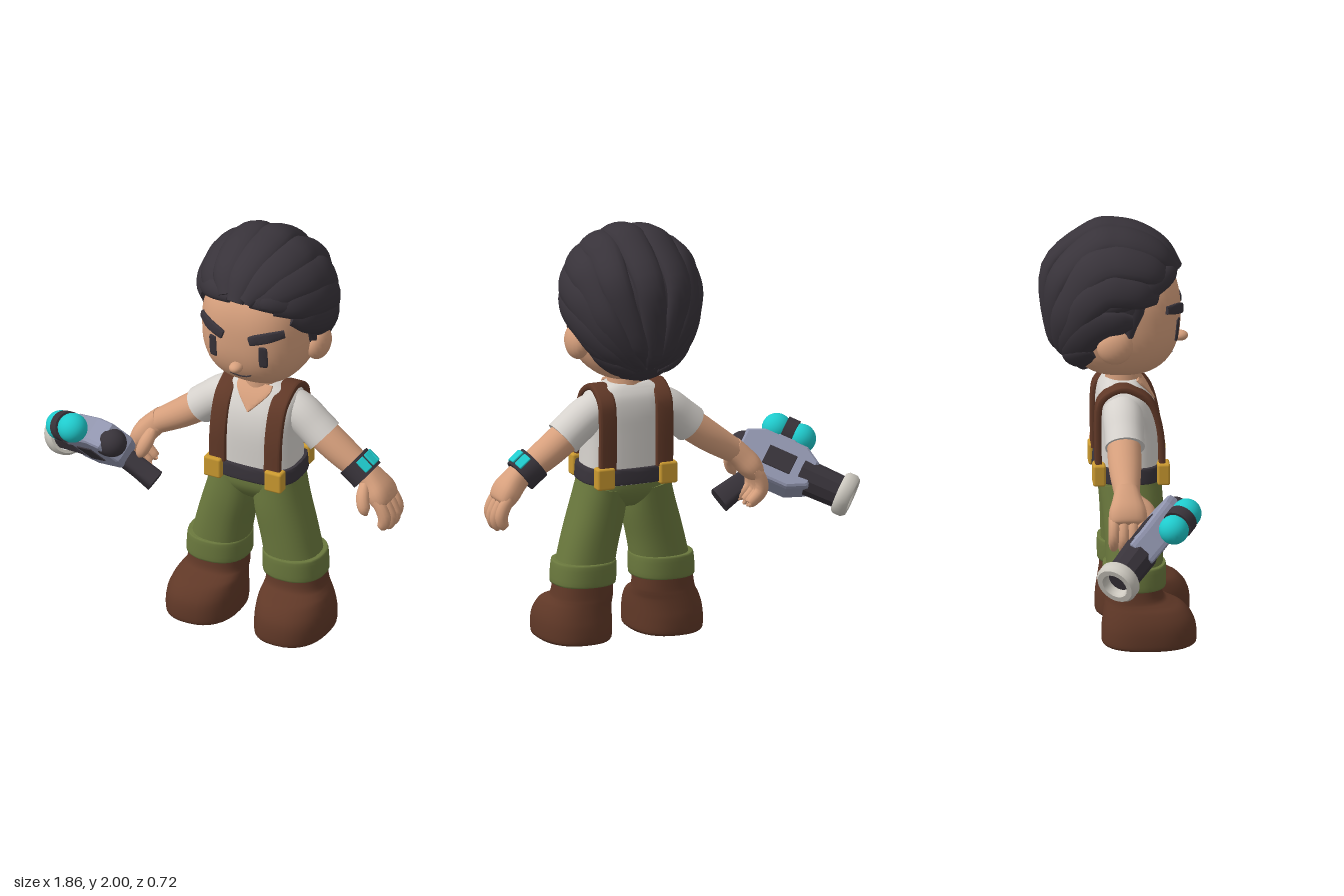
import * as THREE from 'three';
import { toCreasedNormals } from 'three/addons/utils/BufferGeometryUtils.js';
import { RoundedBoxGeometry } from 'three/addons/geometries/RoundedBoxGeometry.js';

const V = (x, y, z) => new THREE.Vector3(x, y, z);
const X = V(1, 0, 0), Y = V(0, 1, 0), Z = V(0, 0, 1);
const CX = 0.227; // body midline

const mat = (name, color) => Object.assign(new THREE.MeshStandardMaterial({ color }), { name });
const M = {
  skin: mat('skin', 0xd7a07d), dark: mat('charcoal', 0x38333a), shirt: mat('shirt white', 0xd6d2cd),
  brown: mat('leather brown', 0x603827), green: mat('olive', 0x6a783d),
  gold: mat('gold', 0xcb9a30), cyan: mat('cyan', 0x1fcbcd), steel: mat('steel', 0x9195ae), ivory: mat('ivory', 0xcdc9c0),
};

function add(parent, name, geo, material, pos) {
  const m = new THREE.Mesh(geo, material);
  m.name = name;
  if (pos) m.position.copy(pos);
  parent.add(m);
  return m;
}

function build(pos, idx) {
  const g = new THREE.BufferGeometry();
  g.setAttribute('position', new THREE.Float32BufferAttribute(pos, 3));
  g.setIndex(idx);
  return toCreasedNormals(g, 0.85);
}

// Superelliptic tube through rows [x, y, z, a, b]; a runs along hint, b across it.
function sweep(rows, { hint = X, axis, n = 20, p = 2, steps = 4 } = {}) {
  const c = new THREE.CatmullRomCurve3(rows.map(r => V(r[0], r[1], r[2])), false, 'catmullrom', 0.5);
  const w = new THREE.CatmullRomCurve3(rows.map(r => V(r[3], r[4], 0)), false, 'catmullrom', 0.5);
  const pos = [], idx = [], m = (rows.length - 1) * steps;
  const pw = v => Math.sign(v) * Math.abs(v) ** (2 / p);
  for (let i = 0; i <= m; i++) {
    const P = c.getPoint(i / m), S = w.getPoint(i / m), T = axis || c.getTangent(i / m);
    const h = typeof hint === 'function' ? hint(P) : hint;
    const A = h.clone().addScaledVector(T, -h.dot(T)).normalize(), B = T.clone().cross(A);
    for (let j = 0; j < n; j++) {
      const t = j / n * Math.PI * 2;
      const q = P.clone().addScaledVector(A, S.x * pw(Math.cos(t))).addScaledVector(B, S.y * pw(Math.sin(t)));
      pos.push(q.x, q.y, q.z);
    }
  }
  for (let i = 0; i < m; i++) for (let j = 0; j < n; j++) {
    const k = (j + 1) % n, a = i * n + j, b = i * n + k;
    idx.push(a, b, a + n, b, b + n, a + n);
  }
  const e = (m + 1) * n, f = rows[0], l = rows[rows.length - 1];
  pos.push(f[0], f[1], f[2], l[0], l[1], l[2]);
  for (let j = 0; j < n; j++) {
    const k = (j + 1) % n;
    idx.push(e, k, j, e + 1, m * n + j, m * n + k);
  }
  return build(pos, idx);
}
// Horizontal slices stacked upwards: a is the half width, b the half depth.
const stack = (rows, p = 2.4, n = 32) => sweep(rows, { axis: Y, p, n });

// ---- head ----
const HC = V(CX, 1.557, 0.03), HR = V(0.265, 0.3, 0.275), HP = 2.5;
const headZ = (x, y) => HC.z + HR.z * Math.max(0, 1 - Math.abs((x - CX) / HR.x) ** HP - Math.abs((y - HC.y) / HR.y) ** HP) ** (1 / HP);

function makeHead() {
  const g = new THREE.Group();
  g.name = 'head';
  const skull = new THREE.SphereGeometry(1, 48, 36), p = skull.attributes.position, v = V(0, 0, 0);
  for (let i = 0; i < p.count; i++) {
    v.fromBufferAttribute(p, i);
    const s = (Math.abs(v.x) ** HP + Math.abs(v.y) ** HP + Math.abs(v.z) ** HP) ** (-1 / HP);
    v.multiplyScalar(s).multiply(HR);
    p.setXYZ(i, v.x, v.y, v.z);
  }
  skull.computeVertexNormals();
  add(g, 'face', skull, M.skin, HC);
  add(g, 'nose', new THREE.SphereGeometry(1, 20, 14).scale(0.032, 0.025, 0.038), M.skin, V(CX, 1.423, 0.304));
  add(g, 'mouth', sweep([[-0.05, 1.362], [-0.005, 1.353], [0.035, 1.36], [0.058, 1.374]].map(([x, y]) =>
    [CX + x, y, headZ(CX + x, y) + 0.001, 0.004, 0.004]), { hint: Z, n: 8 }), M.dark);
  for (const s of [-1, 1]) {
    add(g, 'ear', new THREE.SphereGeometry(1, 20, 16).scale(0.055, 0.085, 0.085), M.skin, V(CX + s * 0.268, 1.465, -0.018));
    add(g, 'eye', sweep([[1.445, 0.013], [1.456, 0.021], [1.54, 0.021], [1.551, 0.013]].map(([y, a]) =>
      [CX + s * 0.13, y, headZ(CX + s * 0.13, y) + 0.001, a, 0.005]), { hint: V(1, 0, -s * 0.28), p: 4 }), M.dark);
    add(g, 'eyebrow', sweep([[0.068, 1.582, 0.021], [0.1, 1.593, 0.025], [0.16, 1.609, 0.025], [0.212, 1.619, 0.019]].map(([o, y, b]) =>
      [CX + s * o, y, headZ(CX + s * o, y) + 0.003, 0.012, b]), { hint: Z, p: 5 }), M.dark);
  }
  return g;
}

// ---- hair: a cap cut at the hairline, covered by swept back locks ----
function makeHair() {
  const g = new THREE.Group();
  g.name = 'hair';
  const C = V(CX, 1.65, -0.022), rx = 0.296, up = 0.294, down = 0.42, rz = 0.306;
  const line = [[0, 1.75], [58, 1.73], [62, 1.63], [69, 1.56], [73, 1.49], [79, 1.5], [84, 1.57], [110, 1.57], [120, 1.42], [140, 1.3], [180, 1.28]];
  const hairline = d => {
    const i = Math.max(1, line.findIndex(l => l[0] >= d)), [a, b] = [line[i - 1], line[i]];
    return a[1] + (b[1] - a[1]) * (d - a[0]) / (b[0] - a[0]);
  };
  const pos = [], idx = [], N = 120, R = 18;
  for (let i = 0; i <= R + 1; i++) for (let j = 0; j < N; j++) {
    const deg = j * 360 / N, f = deg * Math.PI / 180, h = hairline(deg > 180 ? 360 - deg : deg) - C.y;
    const a = Math.acos(h / (h > 0 ? up : down)) * Math.min(1, i / R);
    const s = Math.sin(a) * (i > R ? 0.6 : 1);
    pos.push(C.x + rx * s * Math.sin(f), C.y + (Math.cos(a) > 0 ? up : down) * Math.cos(a), C.z + rz * s * Math.cos(f));
  }
  for (let i = 0; i <= R; i++) for (let j = 0; j < N; j++) {
    const k = (j + 1) % N, a = i * N + j, b = i * N + k;
    idx.push(a, a + N, b, b, a + N, b + N);
  }
  add(g, 'hairCap', build(pos, idx), M.dark);

  const onCap = (x, y, z, lift) => {
    const r = lift / Math.hypot(x / rx, y / (y > 0 ? up : down), z / rz);
    return [C.x + x * r, C.y + y * r, C.z + z * r];
  };
  const outward = P => P.clone().sub(C).normalize();
  const profile = [0.5, 0.88, 1, 1.05, 1, 0.85, 0.6, 0.2];
  // [angle round the crown, start, end, half width, thickness]
  const locks = [[-128, 108, 160, 0.06, 0.028], [-104, 74, 162, 0.075, 0.034], [-84, 48, 166, 0.08, 0.042], [-60, 32, 170, 0.09, 0.046], [-34, 22, 168, 0.09, 0.05],
    [-8, 15, 172, 0.085, 0.05], [18, 18, 165, 0.085, 0.046], [42, 24, 170, 0.085, 0.046], [64, 34, 168, 0.085, 0.044],
    [86, 48, 166, 0.08, 0.042], [104, 74, 162, 0.07, 0.034], [124, 108, 160, 0.06, 0.028]];
  for (const [ang, t0, t1, W, H] of locks) {
    const rows = profile.map((k, i) => {
      const s = i / (profile.length - 1), t = (t0 + (t1 - t0) * s) * Math.PI / 180;
      const swirl = Math.abs(ang) < 90 ? 14 : 4;
      const q = (ang + swirl * Math.sin(s * Math.PI)) * Math.PI / 180, c = Math.cos(t);
      const lift = 1 + 0.1 * Math.max(0, Math.cos(q)) * (1 - s) ** 3;
      return [...onCap(Math.sin(t) * Math.sin(q), Math.sin(t) * Math.cos(q) + (c > 0 ? 0.1 * c : -1.5 * c * c), c, lift), H * k, W * k];
    });
    add(g, 'hairLock', sweep(rows, { hint: outward, n: 16, steps: 5 }), M.dark);
  }
  for (const s of [-1, 1]) {
    add(g, 'templeLock', sweep([[0.05, 1.775, 0.262, 0.025, 0.035], [0.14, 1.775, 0.235, 0.034, 0.05], [0.215, 1.75, 0.165, 0.034, 0.058],
      [0.27, 1.715, 0.075, 0.032, 0.055], [0.295, 1.68, -0.03, 0.026, 0.045], [0.295, 1.65, -0.11, 0.008, 0.015]].map(([o, ...r]) => [CX + s * o, ...r]), { hint: outward }), M.dark);
    add(g, 'sideburn', sweep([[0.25, 1.72, 0.065, 0.05], [0.262, 1.64, 0.062, 0.046], [0.268, 1.57, 0.05, 0.034], [0.27, 1.51, 0.046, 0.01]].map(([o, y, z, b]) =>
      [CX + s * o, y, z, 0.02, b])), M.dark);
  }
  return g;
}

// ---- hand: fingers along +x, palm facing -y ----
function makeHand(name, thumbSide, curl) {
  const g = new THREE.Group();
  g.name = name;
  add(g, 'palm', sweep([[-0.03, 0, 0, 0.055, 0.055], [0.03, 0.005, 0, 0.056, 0.07], [0.09, 0.005, 0, 0.057, 0.088], [0.14, -0.003, 0, 0.045, 0.085],
    [0.155, -0.005, 0, 0.022, 0.07]], { hint: Y, p: 2.6 }), M.skin);
  for (let i = 0; i < 4; i++) {
    const z = (i - 1.5) * 0.044, l = i === 0 || i === 3 ? 0.85 : 1;
    add(g, 'finger', sweep([[0.11, 0, z, 0.024, 0.028], [0.16, -0.005, z, 0.027, 0.031], [0.14 + 0.08 * l, -0.02 - 0.3 * curl, z, 0.027, 0.031],
      [0.14 + (0.115 - curl * 0.4) * l, -0.045 - curl, z, 0.02, 0.024], [0.145 + (0.115 - curl * 0.5) * l, -0.055 - curl, z, 0.005, 0.005]], { hint: Z, n: 12 }), M.skin);
  }
  add(g, 'thumb', sweep([[0.02, -0.01, 0.05, 0.025, 0.025], [0.06, -0.03, 0.095, 0.033, 0.03], [0.11, -0.05, 0.115, 0.028, 0.027],
    [0.14, -0.06, 0.115, 0.006, 0.006]].map(r => [r[0], r[1], r[2] * thumbSide, r[3], r[4]]), { hint: Y, n: 14 }), M.skin);
  return g;
}

// ---- blaster: muzzle along +x, top along +y ----
function makeBlaster() {
  const g = new THREE.Group();
  g.name = 'blaster';
  const side = new THREE.Shape([[-0.21, -0.045], [-0.15, -0.105], [0.06, -0.105], [0.14, -0.06], [0.14, 0.06], [0.07, 0.105], [-0.14, 0.105], [-0.21, 0.07]]
    .map(q => new THREE.Vector2(...q)));
  add(g, 'blasterBody', new THREE.ExtrudeGeometry(side, { depth: 0.09, bevelSize: 0.014, bevelThickness: 0.024, bevelSegments: 2 }).translate(0, 0, -0.045), M.steel);
  for (const s of [-1, 1]) add(g, 'sidePanel', new RoundedBoxGeometry(0.14, 0.1, 0.008, 2, 0.003), M.dark, V(-0.02, -0.005, s * 0.071));
  add(g, 'barrel', toCreasedNormals(new THREE.CylinderGeometry(0.078, 0.084, 0.22, 10).rotateZ(-Math.PI / 2), 0.4), M.dark, V(0.2, 0, 0));
  const ring = [[0.078, 0], [0.092, 0], [0.103, 0.014], [0.103, 0.05], [0.09, 0.068], [0.064, 0.068], [0.055, 0.055], [0.055, 0.01]];
  add(g, 'muzzle', toCreasedNormals(new THREE.LatheGeometry(ring.map(q => new THREE.Vector2(...q)), 32).rotateZ(-Math.PI / 2), 0.9), M.ivory, V(0.288, 0, 0));
  add(g, 'rearKnob', new THREE.CapsuleGeometry(0.068, 0.04, 6, 20).rotateZ(Math.PI / 2), M.dark, V(-0.19, 0.022, -0.005));
  for (const s of [-1, 1]) add(g, 'energyCell', new THREE.SphereGeometry(0.07, 24, 18), M.cyan, V(-0.045 + s * 0.062, 0.188, -0.04));
  add(g, 'cellBand', new THREE.CylinderGeometry(0.073, 0.073, 0.055, 24).rotateZ(Math.PI / 2), M.dark, V(-0.045, 0.188, -0.04));
  add(g, 'cellMount', new RoundedBoxGeometry(0.1, 0.06, 0.07, 2, 0.015), M.steel, V(-0.035, 0.115, -0.015));
  add(g, 'grip', sweep([[-0.08, -0.06, 0, 0.054, 0.045], [-0.15, -0.18, -0.015, 0.052, 0.045], [-0.2, -0.275, -0.03, 0.058, 0.048]], { p: 4 }), M.dark);
  return g;
}

export function createModel() {
  const root = new THREE.Group();
  root.name = 'adventurer';
  root.add(makeHead(), makeHair());

  // torso
  add(root, 'neck', new THREE.CylinderGeometry(0.082, 0.09, 0.2, 24), M.skin, V(CX, 1.22, 0.04));
  add(root, 'shirt', stack([[0.76, 0.06, 0.21, 0.148], [0.84, 0.06, 0.203, 0.148], [1, 0.058, 0.197, 0.148], [1.1, 0.048, 0.203, 0.138],
    [1.17, 0.035, 0.198, 0.115], [1.21, 0.03, 0.16, 0.09], [1.235, 0.03, 0.1, 0.07]].map(([y, z, a, b]) => [CX, y, z, a, b]), 3), M.shirt);
  add(root, 'neckOpening', sweep([[1.115, 0.18, 0.003], [1.145, 0.164, 0.033], [1.18, 0.144, 0.066], [1.21, 0.122, 0.088], [1.235, 0.1, 0.09]].map(([y, z, a]) =>
    [CX, y, z, a, 0.009]), { p: 4 }), M.skin);
  add(root, 'belt', stack([[0.765, 0.22, 0.16], [0.772, 0.224, 0.165], [0.833, 0.22, 0.163], [0.84, 0.216, 0.158]].map(([y, a, b]) => [CX, y, 0.06, a, b]), 3), M.dark);
  add(root, 'hips', stack([[0.64, 0.13, 0.085], [0.67, 0.2, 0.118], [0.72, 0.225, 0.146], [0.78, 0.215, 0.15]].map(([y, a, b]) => [CX, y, 0.065, a, b]), 2.6), M.green);

  for (const s of [-1, 1]) {
    const at = (o, ...r) => [CX + s * o, ...r];
    // suspenders and clasps
    add(root, 'suspender', sweep([[0.84, 0.21], [1, 0.202], [1.13, 0.166], [1.19, 0.108], [1.22, 0.02], [1.172, -0.068], [1.08, -0.09], [0.84, -0.088]].map(([y, z]) =>
      at(0.143, y, z, 0.042, 0.016)), { p: 6 }), M.brown);
    for (const z of [0.215, -0.085]) add(root, 'clasp', new RoundedBoxGeometry(0.09, 0.105, 0.06, 2, 0.012), M.gold, V(CX + s * 0.158, 0.805, z));

    // legs
    add(root, 'trouserLeg', sweep([at(0.106, 0.745, 0.065, 0.145, 0.114), at(0.128, 0.62, 0.075, 0.142, 0.125), at(0.163, 0.48, 0.078, 0.136, 0.13),
      at(0.19, 0.35, 0.078, 0.132, 0.135)], { hint: Z, n: 28, p: 2.3 }), M.green);
    add(root, 'trouserCuff', stack([[0.275, 0.2, 0.142, 0.141], [0.284, 0.199, 0.152, 0.147], [0.374, 0.195, 0.149, 0.147],
      [0.383, 0.194, 0.138, 0.138]].map(([y, o, a, b]) => at(o, y, 0.077, a, b)), 2.3), M.green);
    // rows: height, offset, heel z, toe z, half width
    add(root, 'boot', stack([[0, 0.229, -0.068, 0.35, 0.163], [0.015, 0.23, -0.078, 0.364, 0.173], [0.08, 0.23, -0.078, 0.362, 0.174], [0.13, 0.226, -0.072, 0.345, 0.169],
      [0.175, 0.218, -0.066, 0.305, 0.158], [0.2, 0.21, -0.063, 0.25, 0.149], [0.225, 0.205, -0.06, 0.212, 0.143], [0.3, 0.2, -0.056, 0.2, 0.136]].map(([y, o, z0, z1, a]) =>
      at(o, y, (z0 + z1) / 2, a, (z1 - z0) / 2))), M.brown);

    // arms
    add(root, 'sleeve', sweep([at(0.09, 1.13, 0.025, 0.085, 0.085), at(0.19, 1.093, 0.025, 0.094, 0.09), at(0.27, 1.032, 0.025, 0.092, 0.089),
      at(0.322, 0.988, 0.025, 0.093, 0.09)], { hint: Z, n: 24 }), M.shirt);
    add(root, 'arm', sweep([at(0.25, 1.045, 0.022, 0.077, 0.074), at(0.34, 0.975, 0.02, 0.079, 0.075), at(0.43, 0.91, 0.018, 0.075, 0.07),
      at(0.54, 0.838, 0.018, 0.06, 0.058)], { hint: Z, n: 24 }), M.skin);
    const hand = makeHand(s > 0 ? 'leftHand' : 'rightHand', s, s > 0 ? 0.02 : 0.07);
    hand.quaternion.setFromRotationMatrix(new THREE.Matrix4().makeBasis(V(s * 0.656, -0.755, 0), V(s * 0.755, 0.656, 0), V(0, 0, s)));
    hand.position.set(CX + s * 0.547, 0.832, 0.018);
    root.add(hand);
  }

  // wristband on the left arm
  const band = new THREE.Group();
  band.name = 'wristband';
  band.position.set(0.732, 0.862, 0.018);
  band.rotation.z = -0.68;
  add(band, 'bandStrap', toCreasedNormals(new THREE.CylinderGeometry(0.085, 0.085, 0.095, 16).rotateZ(Math.PI / 2), 0.6), M.dark);
  for (const a of [-0.62, 0, 0.62]) {
    add(band, 'bandScreen', new RoundedBoxGeometry(0.068, 0.012, 0.044, 2, 0.005), M.cyan,
      V(0, 0.086 * Math.cos(a), 0.086 * Math.sin(a))).rotation.x = a;
  }
  root.add(band);

  // blaster held in the right hand
  const blaster = makeBlaster();
  const fwd = V(-0.77, -0.37, -0.53).normalize(), right = fwd.clone().cross(V(-0.6, 0.68, 0.42)).normalize();
  blaster.quaternion.setFromRotationMatrix(new THREE.Matrix4().makeBasis(fwd, right.clone().cross(fwd), right));
  blaster.position.set(-0.6, 0.705, 0.11);
  root.add(blaster);
  return root;
}
